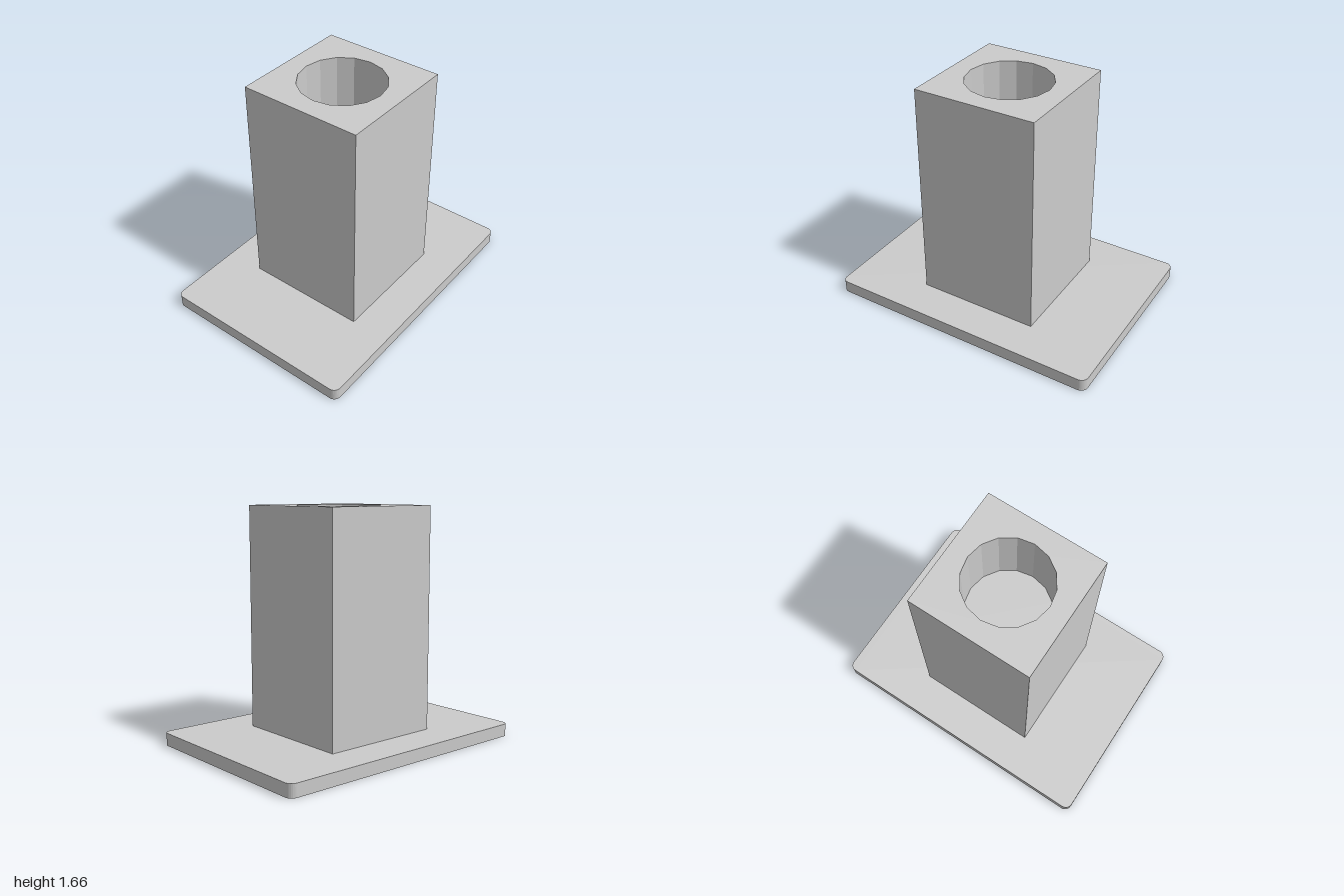
import * as THREE from 'three';

const material = new THREE.MeshStandardMaterial({ color: 0xcccccc, flatShading: true });

// Polygon points on a circle, starting on the x axis
function ring(radius, sides) {
  return Array.from({ length: sides }, (_, i) => {
    const a = (i / sides) * Math.PI * 2;
    return new THREE.Vector2(Math.cos(a) * radius, Math.sin(a) * radius);
  });
}

// Rectangle with rounded corners, centred on the origin
function roundedRect(w, d, r) {
  const x = w / 2 - r, y = d / 2 - r;
  const s = new THREE.Shape();
  [[x, y], [-x, y], [-x, -y], [x, -y]].forEach(([cx, cy], i) =>
    s.absarc(cx, cy, r, (i * Math.PI) / 2, ((i + 1) * Math.PI) / 2, false));
  return s;
}

// Extrude a floor plan upwards from y0 to y1
function slab(name, shape, y0, y1) {
  const geometry = new THREE.ExtrudeGeometry(shape, { depth: y1 - y0, bevelEnabled: false, curveSegments: 3 });
  geometry.rotateX(-Math.PI / 2);
  geometry.translate(0, y0, 0);
  const mesh = new THREE.Mesh(geometry, material);
  mesh.name = name;
  return mesh;
}

export function createModel() {
  const baseTop = 0.09, socketFloor = 1.16, top = 1.66, side = 0.88;
  const group = new THREE.Group();
  group.name = 'socketStand';

  // Base plate with small rounded corners
  group.add(slab('basePlate', roundedRect(2, 1.44, 0.05), 0, baseTop));

  // Solid lower part of the square column
  const block = new THREE.Mesh(new THREE.BoxGeometry(side, socketFloor - baseTop, side), material);
  block.name = 'columnBlock';
  block.position.y = (baseTop + socketFloor) / 2;
  group.add(block);

  // Upper part of the column with a sixteen-sided blind hole
  const h = side / 2;
  const square = new THREE.Shape([[-h, -h], [h, -h], [h, h], [-h, h]].map(p => new THREE.Vector2(...p)));
  square.holes.push(new THREE.Path(ring(0.3, 16)));
  group.add(slab('columnSocket', square, socketFloor, top));

  return group;
}
